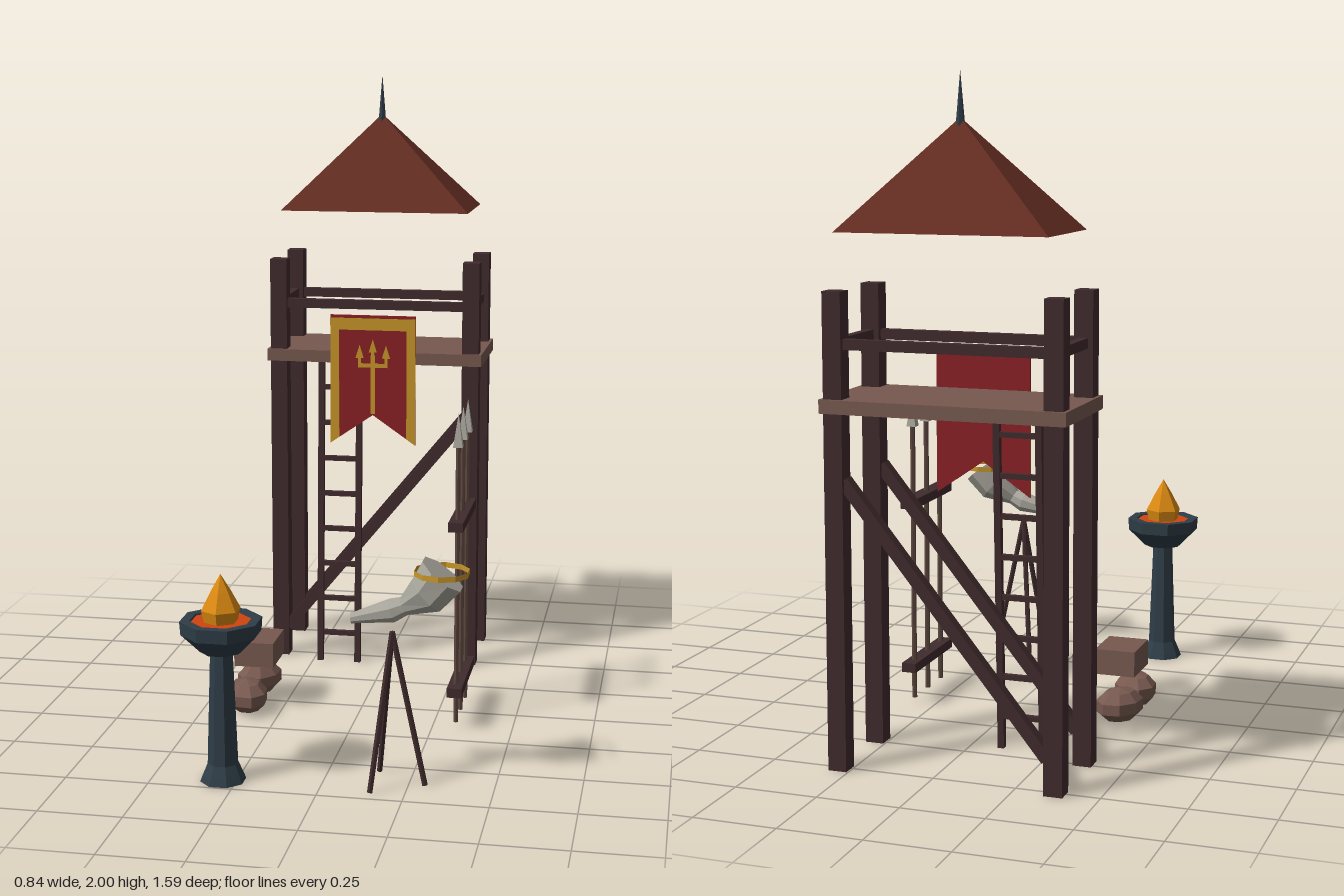
import * as THREE from 'three';

const mat = (name, color, side = THREE.FrontSide) => {
  const m = new THREE.MeshStandardMaterial({ color, side });
  m.name = name;
  return m;
};

// Faceted geometry: every face gets its own normal
const facet = (geo) => {
  const g = geo.index ? geo.toNonIndexed() : geo;
  g.computeVertexNormals();
  return g;
};

const V = (x, y, z) => new THREE.Vector3(x, y, z);

export function createModel() {
  const M = {
    wood: mat('dark wood', 0x402b2d),
    plank: mat('pale plank', 0x77594f),
    shaft: mat('spear wood', 0x5c463e),
    roof: mat('roof red', 0x672f24),
    cloth: mat('banner red', 0x8a2125),
    gold: mat('gold', 0xc8962a, THREE.DoubleSide),
    slate: mat('slate iron', 0x2f3d47, THREE.DoubleSide),
    metal: mat('grey metal', 0xa8a69c),
    flame: mat('flame', 0xdc8a12),
    ember: mat('ember', 0xd0440f),
  };
  const model = new THREE.Group();
  const group = (name) => {
    const g = new THREE.Group();
    g.name = name;
    model.add(g);
    return g;
  };
  const add = (parent, name, geo, material, x = 0, y = 0, z = 0) => {
    const m = new THREE.Mesh(facet(geo), material);
    m.name = name;
    m.position.set(x, y, z);
    parent.add(m);
    return m;
  };
  const box = (parent, name, material, w, h, d, x, y, z) =>
    add(parent, name, new THREE.BoxGeometry(w, h, d), material, x, y, z);
  // Straight member between two points
  const beam = (parent, name, material, a, b, t, round = 0) => {
    const len = a.distanceTo(b);
    const geo = round ? new THREE.CylinderGeometry(t / 2, t / 2, len, round) : new THREE.BoxGeometry(t, len, t);
    const m = add(parent, name, geo, material);
    m.position.copy(a).add(b).multiplyScalar(0.5);
    m.quaternion.setFromUnitVectors(V(0, 1, 0), b.clone().sub(a).normalize());
    return m;
  };
  const plate = (pts, depth) => new THREE.ExtrudeGeometry(
    new THREE.Shape(pts.map(([x, y]) => new THREE.Vector2(x, y))), { depth, bevelEnabled: false });
  const lathe = (pts, n) => new THREE.LatheGeometry(pts.map(([r, y]) => new THREE.Vector2(r, y)), n);

  // Watchtower frame
  const tower = group('watchtower');
  const cx = -0.045, cz = -0.625, px = 0.327, pz = 0.135;
  for (const s of [-1, 1]) {
    for (const t of [-1, 1]) box(tower, 'post', M.wood, 0.056, 1.39, 0.056, cx + s * px, 0.695, cz + t * pz);
    box(tower, 'longRail', M.wood, px * 2, 0.03, 0.025, cx, 1.24, cz + s * pz);
    box(tower, 'sideRail', M.wood, 0.025, 0.03, pz * 2, cx + s * px, 1.24, cz);
    beam(tower, 'brace', M.wood, V(-0.35, 0.1, cz + s * pz), V(0.26, 0.85, cz + s * pz), 0.035);
  }
  box(tower, 'platform', M.plank, 0.73, 0.04, 0.345, cx, 1.065, cz);

  // Roof and finial
  const roofGeo = new THREE.CylinderGeometry(0, Math.SQRT2, 1, 4).rotateY(Math.PI / 4).scale(0.315, 0.315, 0.172);
  add(tower, 'roof', roofGeo, M.roof, cx, 1.7125, cz);
  add(tower, 'finial', new THREE.ConeGeometry(0.014, 0.16, 6), M.slate, cx, 1.92, cz);

  // Ladder leaning under the platform edge
  const ladder = group('ladder');
  const lz = (y) => -0.43 - 0.042 * y;
  for (const x of [-0.225, -0.095])
    beam(ladder, 'ladderRail', M.wood, V(x, 0, lz(0)), V(x, 1.045, lz(1.045)), 0.02);
  for (let i = 0; i < 8; i++) {
    const y = 0.1 + i * 0.1225;
    box(ladder, 'rung', M.wood, 0.13, 0.016, 0.016, -0.16, y, lz(y));
  }

  // Banner with border and trident emblem
  const banner = group('banner');
  const xc = -0.045;
  add(banner, 'cloth', plate([[-0.145, 0.77], [0, 0.87], [0.145, 0.77], [0.145, 1.21], [-0.145, 1.21]], 0.006),
    M.cloth, xc, 0, -0.45);
  add(banner, 'border', plate([[-0.145, 0.77], [-0.115, 0.791], [-0.115, 1.16], [0.115, 1.16],
    [0.115, 0.791], [0.145, 0.77], [0.145, 1.2], [-0.145, 1.2]], 0.002), M.gold, xc, 0, -0.444);
  const trim = (w, h, x, y) => box(banner, 'emblem', M.gold, w, h, 0.002, xc + x, y, -0.443);
  trim(0.016, 0.2, 0, 0.975);
  trim(0.1, 0.014, 0, 1.04);
  for (const [x, y] of [[-0.045, 1.1], [0, 1.12], [0.045, 1.1]]) {
    trim(0.01, y - 1.06, x, (y + 1.02) / 2);
    add(banner, 'prongTip', plate([[-0.014, -0.035], [0.014, -0.035], [0, 0.01]], 0.002), M.gold, xc + x, y, -0.444);
  }

  // Spear rack
  const rack = group('spearRack');
  for (const y of [0.125, 0.657]) box(rack, 'rackBoard', M.wood, 0.046, 0.03, 0.325, 0.322, y, 0.016);
  for (const z of [-0.098, 0.016, 0.13]) {
    add(rack, 'spearShaft', new THREE.CylinderGeometry(0.008, 0.008, 0.9, 6), M.shaft, 0.322, 0.465, z);
    add(rack, 'spearHead', new THREE.ConeGeometry(0.021, 0.105, 4).rotateY(Math.PI / 4), M.metal, 0.322, 0.953, z);
  }

  // Brazier
  const brazier = group('brazier');
  brazier.position.set(-0.29, 0, 0.685);
  const stand = [[0, 0], [0.068, 0], [0.06, 0.02], [0.045, 0.055], [0.033, 0.395], [0.062, 0.395],
    [0.118, 0.45], [0.121, 0.49], [0.092, 0.49], [0.085, 0.47]];
  add(brazier, 'standAndBowl', lathe(stand, 8).rotateY(Math.PI / 8), M.slate);
  add(brazier, 'embers', new THREE.CylinderGeometry(0.09, 0.075, 0.02, 8).rotateY(Math.PI / 8), M.ember, 0, 0.475, 0);
  add(brazier, 'fire', lathe([[0, 0.48], [0.05, 0.48], [0.059, 0.52], [0.03, 0.575], [0, 0.625]], 6), M.flame);

  // Supplies: two boulders with a block on top
  const supplies = group('supplies');
  for (const [z, turn] of [[-0.07, -0.4], [0.11, 0.4]]) {
    const rock = add(supplies, 'boulder', new THREE.SphereGeometry(1, 8, 5).scale(0.069, 0.054, 0.088),
      M.plank, -0.357, 0.053, z);
    rock.rotation.y = turn;
  }
  box(supplies, 'block', M.plank, 0.128, 0.08, 0.16, -0.338, 0.182, 0.013);

  // Signal horn: octagonal rings [x, y, radius, tilt] joined along a bent axis
  const horn = group('signalHorn');
  const rings = [[0.08, 0.495, 0, 0.12], [0.08, 0.495, 0.015, 0.12], [0.2, 0.525, 0.035, 0.3],
    [0.235, 0.54, 0.028, 0.5], [0.3, 0.58, 0.064, 0.75], [0.345, 0.64, 0.074, 0.92], [0.345, 0.64, 0, 0.92]];
  const n = 8, pos = [], idx = [];
  rings.forEach(([x, y, r, a], i) => {
    for (let j = 0; j < n; j++) {
      const t = ((j + 0.5) / n) * Math.PI * 2, u = Math.cos(t) * r;
      pos.push(x - Math.sin(a) * u, y + Math.cos(a) * u, Math.sin(t) * r);
      if (i === 0) continue;
      const k = (j + 1) % n, p = (i - 1) * n, q = i * n;
      idx.push(p + j, p + k, q + k, p + j, q + k, q + j);
    }
  });
  const hornGeo = new THREE.BufferGeometry();
  hornGeo.setAttribute('position', new THREE.Float32BufferAttribute(pos, 3));
  hornGeo.setIndex(idx);
  add(horn, 'hornBody', hornGeo, M.metal, 0, 0, 0.625);
  add(horn, 'hornBand', new THREE.CylinderGeometry(0.08, 0.08, 0.016, 10, 1, true), M.gold, 0.343, 0.645, 0.625);

  // Tripod
  for (const [x, z] of [[0.15, 0.54], [0.15, 0.71], [0.298, 0.625]])
    beam(horn, 'tripodLeg', M.wood, V(x, 0.002, z), V(0.2, 0.46, 0.625), 0.017, 6);

  return model;
}
